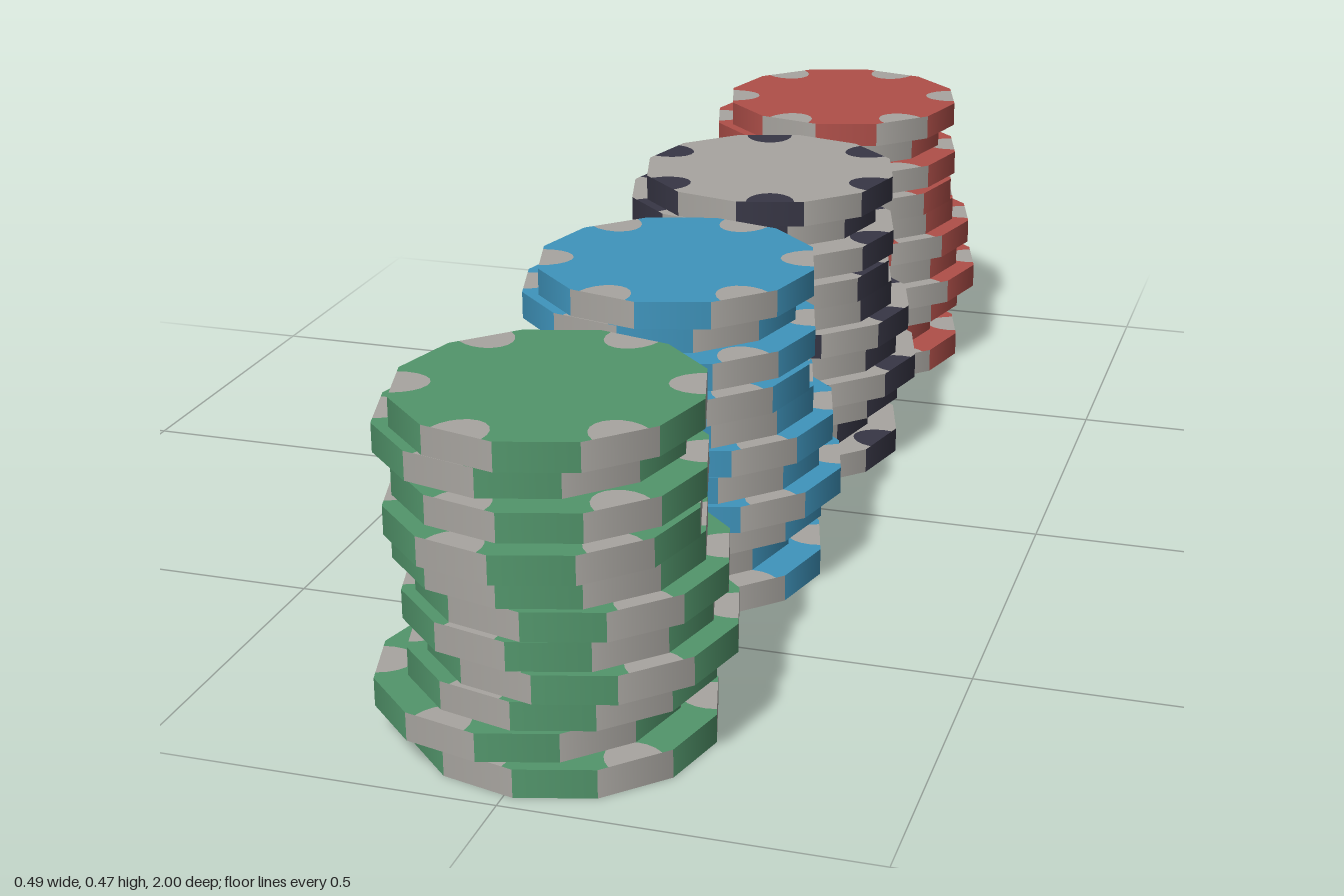
import * as THREE from 'three';
import { mergeGeometries } from 'three/addons/utils/BufferGeometryUtils.js';

const R = 0.206, H = 0.04, SIDES = 12, STEP = (Math.PI * 2) / SIDES;
const APOTHEM = R * Math.cos(STEP / 2);
const TURN = 0.012;

// each chip, bottom to top: x offset, base height, z offset
const CHIPS = [
  [0.01, 0, 0], [-0.039, 0.043, 0], [0.01, 0.0945, 0], [0.039, 0.135, 0],
  [0.006, 0.1755, 0], [0.026, 0.2185, 0], [-0.004, 0.259, 0], [-0.004, 0.3005, 0.023],
  [-0.004, 0.343, -0.007], [-0.041, 0.3855, -0.035], [-0.011, 0.428, -0.023],
];

// rounded notch on the rim of one facet; flip = -1 for the top face, 1 for the bottom
function notch(facet, flip) {
  const a = (facet + 0.5) * STEP, pts = [];
  for (let i = 0; i <= 10; i++) {
    const p = (Math.PI * i) / 10;
    const t = -0.038 * Math.cos(p), r = APOTHEM - 0.048 * Math.sin(p);
    pts.push(new THREE.Vector2(
      r * Math.sin(a) + t * Math.cos(a),
      flip * (r * Math.cos(a) - t * Math.sin(a))));
  }
  return pts;
}

// both round faces without the spots, and the spots that fill the notches
function faceGeometries(parity) {
  const faces = [], spots = [];
  for (const flip of [-1, 1]) {
    const place = (pts) => new THREE.ShapeGeometry(new THREE.Shape(pts))
      .rotateX((flip * Math.PI) / 2).translate(0, flip < 0 ? H : 0, 0);
    const outline = [];
    for (let k = 0; k < SIDES; k++) {
      outline.push(new THREE.Vector2(R * Math.sin(k * STEP), flip * R * Math.cos(k * STEP)));
      if (k % 2 === parity) {
        outline.push(...notch(k, flip));
        spots.push(place(notch(k, flip)));
      }
    }
    faces.push(place(outline));
  }
  return [mergeGeometries(faces), mergeGeometries(spots)];
}

// smooth rim whose facets alternate between two materials
function rimGeometry() {
  const g = new THREE.CylinderGeometry(R, R, H, SIDES, 1, true).translate(0, H / 2, 0);
  g.clearGroups();
  for (let k = 0; k < SIDES; k++) g.addGroup(k * 6, 6, k % 2);
  return g;
}

export function createModel() {
  const material = (name, color) => {
    const m = new THREE.MeshStandardMaterial({ color });
    m.name = name;
    return m;
  };
  const grey = material('pale grey', 0xa8a5a0);
  const green = material('green', 0x52956b);
  const blue = material('blue', 0x3f94bc);
  const dark = material('dark navy', 0x373645);
  const red = material('red', 0xaf4f49);

  const model = new THREE.Group();
  model.name = 'chipStacks';
  const rim = rimGeometry();
  const faceSets = [faceGeometries(0), faceGeometries(1)];

  // name, z position, face colour, even facet colour, parity of the spotted facets
  const stacks = [
    ['greenStack', 0.771, green, green, 1],
    ['blueStack', 0.236, blue, blue, 1],
    ['greyStack', -0.267, grey, dark, 0],
    ['redStack', -0.76, red, red, 1],
  ];
  for (const [name, z, faceMat, evenMat, parity] of stacks) {
    const stack = new THREE.Group();
    stack.name = name;
    stack.position.z = z;
    const [faceGeo, spotGeo] = faceSets[parity];
    const spotMat = parity ? grey : evenMat;
    for (const [x, y, dz] of CHIPS) {
      const chip = new THREE.Group();
      chip.name = 'chip';
      chip.position.set(x, y, dz);
      chip.rotation.y = TURN;
      const parts = [
        ['rim', rim, [evenMat, grey]],
        ['faces', faceGeo, faceMat],
        ['edgeSpots', spotGeo, spotMat],
      ];
      for (const [part, geo, mat] of parts) {
        const mesh = new THREE.Mesh(geo, mat);
        mesh.name = part;
        chip.add(mesh);
      }
      stack.add(chip);
    }
    model.add(stack);
  }
  return model;
}
